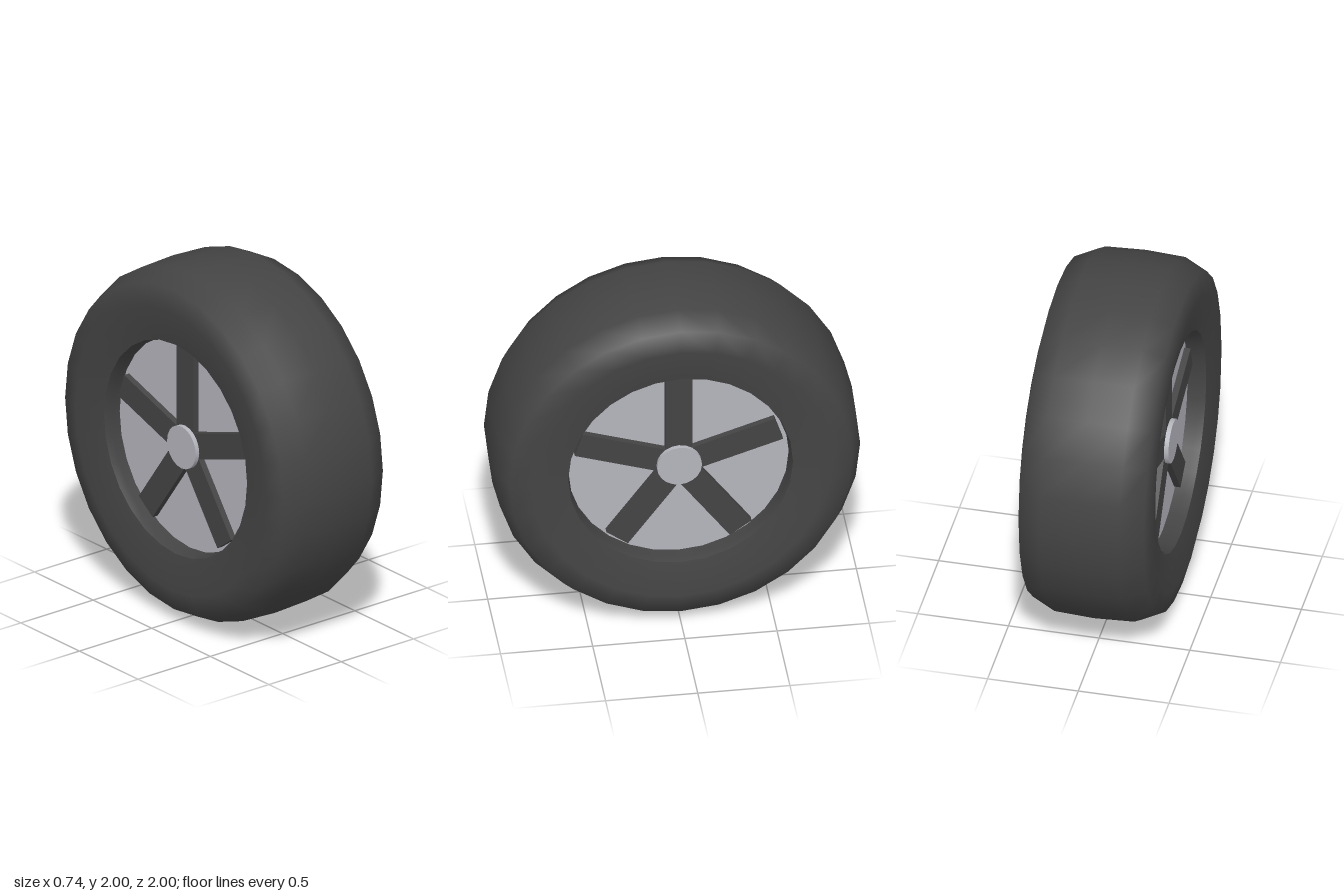
import * as THREE from 'three';

const SEGMENTS = 28;
const SPOKES = 5;

export function createModel() {
  const rubber = new THREE.MeshStandardMaterial({ color: 0x444444 });
  rubber.name = 'dark rubber';
  const metal = new THREE.MeshStandardMaterial({ color: 0xb4b4bc });
  metal.name = 'light metal';

  const wheel = new THREE.Group();
  wheel.name = 'wheel';
  wheel.position.y = 1;

  function add(name, geometry, material, parent = wheel) {
    const mesh = new THREE.Mesh(geometry, material);
    mesh.name = name;
    parent.add(mesh);
    return mesh;
  }

  // Turn a [radius, x] profile around the axle, which runs along x
  function turn(profile) {
    const points = profile.map(([r, x]) => new THREE.Vector2(r, x));
    return new THREE.LatheGeometry(points, SEGMENTS).rotateZ(-Math.PI / 2);
  }
  const disc = (radius, width, sides) =>
    new THREE.CylinderGeometry(radius, radius, width, sides).rotateZ(-Math.PI / 2);

  // Tyre: one half of the section, mirrored across the middle of the tread
  const half = [[0.61, 0.335], [0.81, 0.372], [0.93, 0.345], [0.99, 0.22]];
  const section = [
    ...half.map(([r, x]) => [r, -x]),
    [1, 0],
    ...half.slice().reverse(),
  ];
  add('tyre', turn(section), rubber);

  // Inner wall of the tyre opening
  add('rimWall', turn([[0.61, 0.335], [0.6, 0.29], [0.6, -0.29], [0.61, -0.335]]), rubber);

  // Recessed wheel disc, visible on both sides
  add('wheelDisc', disc(0.602, 0.47, SEGMENTS), metal);

  // Spokes pass through the disc and stand proud on both sides
  const spokes = new THREE.Group();
  spokes.name = 'spokes';
  wheel.add(spokes);
  for (let i = 0; i < SPOKES; i++) {
    const geometry = new THREE.BoxGeometry(0.54, 0.5, 0.145)
      .translate(0, 0.32, 0)
      .rotateX((i / SPOKES) * Math.PI * 2);
    add('spoke', geometry, rubber, spokes);
  }

  // Hub cap
  add('hub', disc(0.122, 0.59, 20), metal);

  const model = new THREE.Group();
  model.name = 'wheelModel';
  model.add(wheel);
  return model;
}
